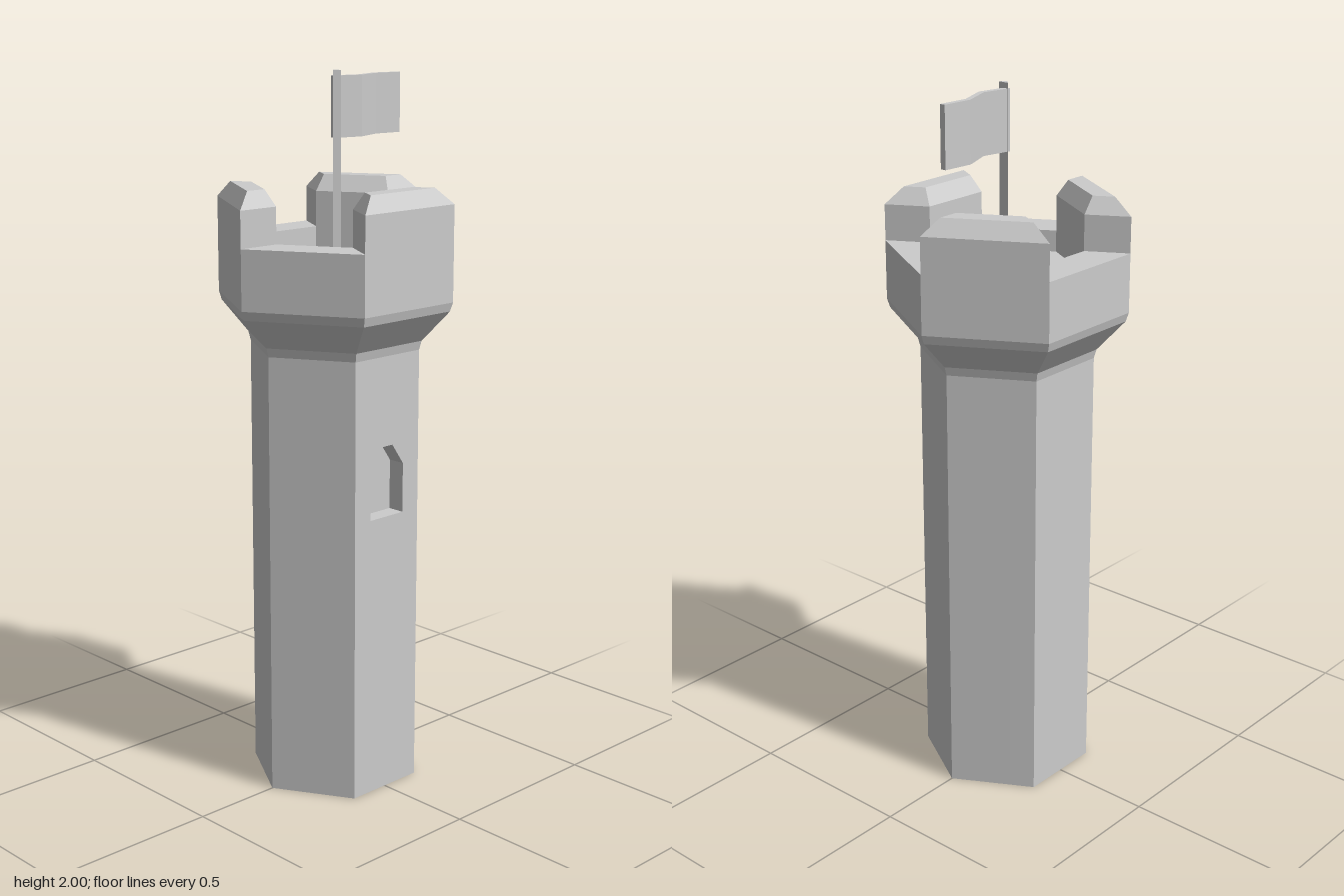
import * as THREE from 'three';
import { ConvexGeometry } from 'three/addons/geometries/ConvexGeometry.js';

const HEX = 2 / Math.sqrt(3); // apothem to corner radius

export function createModel() {
  const group = new THREE.Group();
  const mat = new THREE.MeshStandardMaterial({ color: 0xcccccc, flatShading: true, side: THREE.DoubleSide });
  const add = (name, geo, parent = group) => {
    const mesh = new THREE.Mesh(geo, mat);
    mesh.name = name;
    parent.add(mesh);
    return mesh;
  };
  const V2 = (x, y) => new THREE.Vector2(x, y);
  const shaftTop = 1.255, apothem = 0.21, half = apothem * HEX / 2;

  // Hollow shaft: six wall panels, one pierced by the window
  const windowPts = [[-0.062, 0.805], [0.062, 0.805], [0.062, 0.945], [0.02, 1.005], [-0.02, 1.005], [-0.062, 0.945]]
    .map(p => V2(...p));
  const shaft = new THREE.Group();
  shaft.name = 'shaft';
  group.add(shaft);
  for (let i = 0; i < 6; i++) {
    const wall = new THREE.Shape([V2(-half, 0), V2(half, 0), V2(half, shaftTop), V2(-half, shaftTop)]);
    if (i === 0) wall.holes.push(new THREE.Path(windowPts));
    const geo = new THREE.ShapeGeometry(wall).translate(0, 0, apothem);
    add('shaftWall', geo.rotateY(Math.PI / 2 + i * Math.PI / 3), shaft);
  }

  // Window niche: reveal around the opening, and a back panel
  const depth = 0.05;
  const niche = new THREE.Group();
  niche.name = 'windowNiche';
  niche.rotation.y = Math.PI / 2;
  niche.position.x = apothem;
  group.add(niche);
  add('nicheBack', new THREE.ShapeGeometry(new THREE.Shape(windowPts)).translate(0, 0, -depth), niche);
  const pos = [];
  windowPts.forEach((a, i) => {
    const b = windowPts[(i + 1) % windowPts.length];
    pos.push(a.x, a.y, 0, b.x, b.y, 0, b.x, b.y, -depth);
    pos.push(a.x, a.y, 0, b.x, b.y, -depth, a.x, a.y, -depth);
  });
  const reveal = new THREE.BufferGeometry();
  reveal.setAttribute('position', new THREE.Float32BufferAttribute(pos, 3));
  reveal.computeVertexNormals();
  add('nicheReveal', reveal, niche);

  // Flared crown with flat rim and sunken platform (apothem, height)
  const crown = [[apothem, shaftTop], [0.216, 1.28], [0.283, 1.365], [0.29, 1.39],
    [0.29, 1.555], [0.182, 1.555], [0.182, 1.495], [0, 1.495]];
  add('crown', new THREE.LatheGeometry(crown.map(([a, y]) => V2(a * HEX, y)), 6));

  // Three bevelled merlons on alternate sides
  const corners = [];
  for (const s of [-1, 1]) {
    for (const [x, z] of [[0.29, 0.167], [0.182, 0.105]])
      for (const y of [1.555, 1.655]) corners.push(new THREE.Vector3(x, y, s * z));
    corners.push(new THREE.Vector3(0.262, 1.7, s * 0.12), new THREE.Vector3(0.21, 1.7, s * 0.09));
  }
  for (let i = 0; i < 3; i++) add('merlon', new ConvexGeometry(corners)).rotation.y = i * Math.PI * 2 / 3;

  // Upright extrusion of a plan outline given as (x, z)
  const upright = (plan, y0, y1) => new THREE.ExtrudeGeometry(
    new THREE.Shape(plan.map(([x, z]) => V2(x, -z))), { depth: y1 - y0, bevelEnabled: false })
    .rotateX(-Math.PI / 2).translate(0, y0, 0);

  // Three-sided flagpole
  add('flagpole', upright([[-0.021, -0.018], [-0.003, 0], [0.009, -0.018]], 1.495, 2));

  // Waving flag
  const wave = [[-0.013, -0.01], [0.003, -0.095], [-0.033, -0.185], [-0.026, -0.272]];
  const t = 0.008;
  const outline = [...wave.map(([x, z]) => [x + t, z]), ...wave.map(([x, z]) => [x - t, z]).reverse()];
  add('flag', upright(outline, 1.82, 1.985));

  return group;
}
